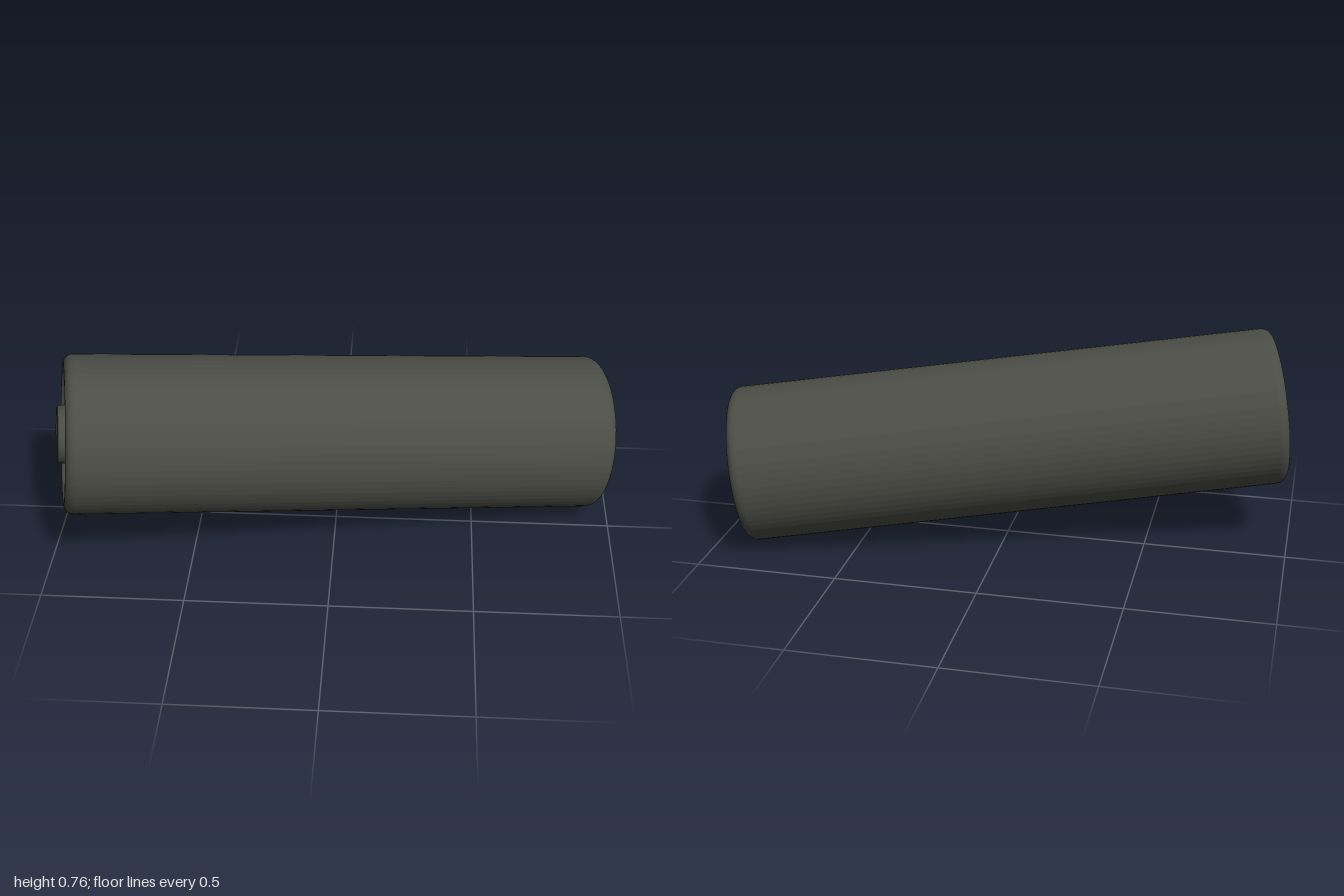
import * as THREE from 'three';
import { toCreasedNormals } from 'three/addons/utils/BufferGeometryUtils.js';

const R = 0.277;      // casing radius
const H = 0.961;      // half length
const BEVEL = 0.034;  // rounding of both rims
const SIDES = 64;

// Quarter round from the casing wall onto the end face: [radius, height]
function rimRound(sign) {
  const pts = [];
  for (let i = 0; i <= 6; i++) {
    const a = (i / 6) * Math.PI / 2;
    pts.push([R - BEVEL + BEVEL * Math.cos(a), sign * (H - BEVEL + BEVEL * Math.sin(a))]);
  }
  return pts;
}

// Profiles run upwards along the axis so that faces point outwards
function lathe(name, pts, material, crease = 0.7) {
  const geo = new THREE.LatheGeometry(pts.map(([x, y]) => new THREE.Vector2(x, y)), SIDES);
  const mesh = new THREE.Mesh(toCreasedNormals(geo, crease), material);
  mesh.name = name;
  return mesh;
}

export function createModel() {
  const group = new THREE.Group();
  group.name = 'batteryCell';
  const casing = new THREE.MeshStandardMaterial({ color: 0x4b4c45 });
  casing.name = 'dark grey';

  const cell = new THREE.Group();
  cell.name = 'cell';

  // Long faceted wall
  cell.add(lathe('casingWall', [[R, -H + BEVEL], [R, H - BEVEL]], casing, 0.01));

  // Terminal end: rounded rim around a shallow recess
  cell.add(lathe('terminalEnd', [
    [0, -H + 0.028], [0.205, -H + 0.028], [0.218, -H + 0.025], [0.232, -H + 0.006],
    [0.237, -H + 0.001], ...rimRound(-1).reverse(),
  ], casing));

  // Raised terminal button in the middle of the recess
  cell.add(lathe('terminalButton', [
    [0, -H - 0.022], [0.088, -H - 0.022], [0.096, -H - 0.019],
    [0.1, -H - 0.011], [0.103, -H + 0.03],
  ], casing));

  // Base end: rounded rim, narrow groove and a slightly dished plate
  cell.add(lathe('baseEnd', [
    ...rimRound(1), [0.236, H - 0.002], [0.231, H - 0.006], [0.229, H - 0.018],
    [0.226, H - 0.018], [0.224, H - 0.006], [0.218, H - 0.004], [0.21, H - 0.006],
    [0.203, H - 0.012], [0.197, H - 0.017], [0.19, H - 0.018], [0, H - 0.018],
  ], casing));

  // Lay the cell down at its tilt
  const axis = new THREE.Vector3(0.967, -0.113, -0.226).normalize();
  cell.quaternion.setFromUnitVectors(new THREE.Vector3(0, 1, 0), axis);
  cell.position.y = 0.386;
  group.add(cell);
  return group;
}
